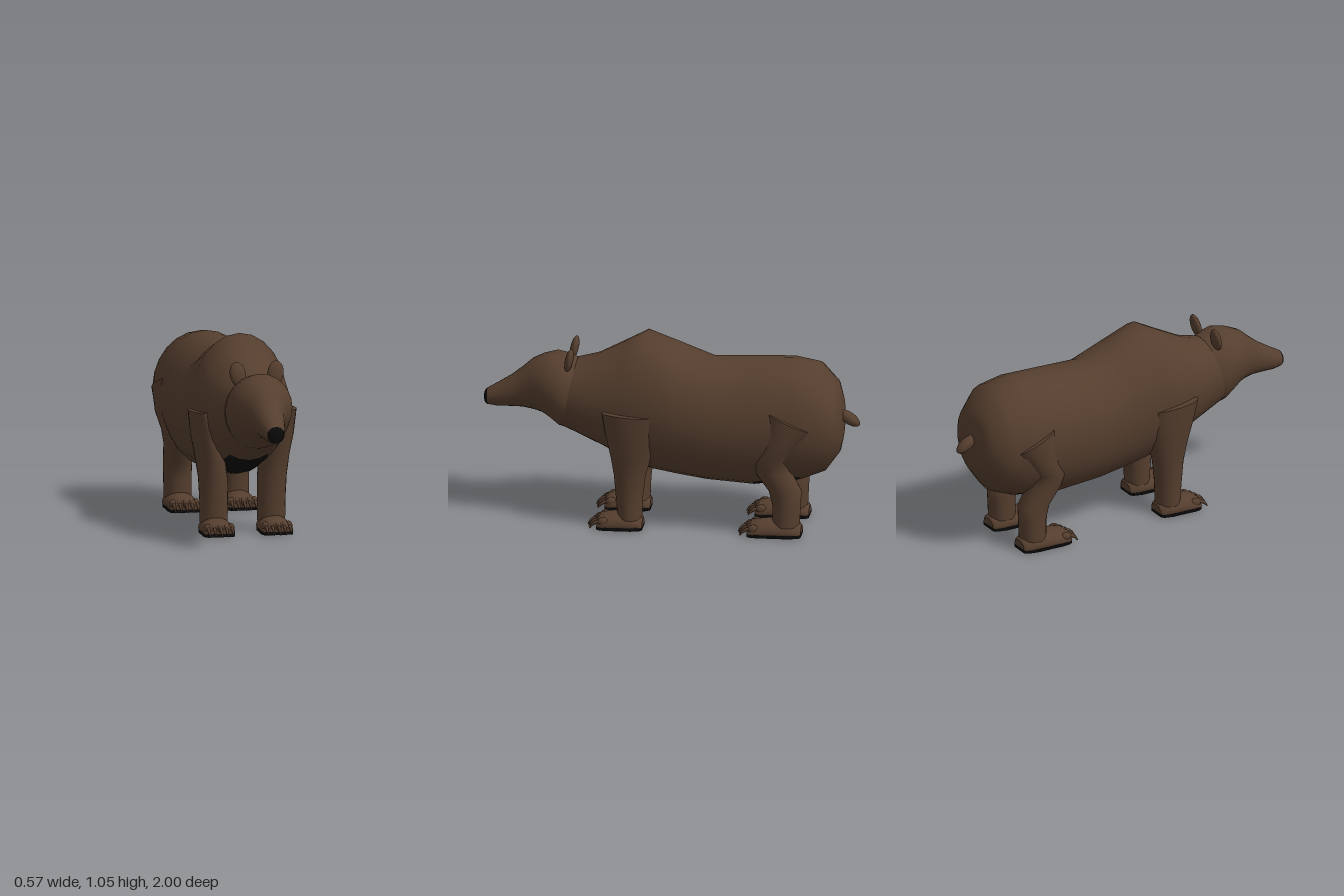
import * as THREE from 'three';

const fur = new THREE.MeshStandardMaterial({ color: 0x553e2e });
fur.name = 'brown fur';
const dark = new THREE.MeshStandardMaterial({ color: 0x0a0a0a });
dark.name = 'black skin';

// Smooth skin over elliptical rings [z1, y1, z2, y2, halfWidth, centreX]:
// (z1, y1) and (z2, y2) are the ends of each ring's profile line.
function loft(name, rings, { sides = 24, floor = -1, isDark = () => false } = {}) {
  const pos = [], brown = [], black = [];
  rings.forEach(([z1, y1, z2, y2, w, cx = 0]) => {
    for (let j = 0; j < sides; j++) {
      const a = (j / sides) * Math.PI * 2, s = Math.sin(a) / 2;
      pos.push(cx + w * Math.cos(a), Math.max(floor, (y1 + y2) / 2 + s * (y1 - y2)), (z1 + z2) / 2 + s * (z1 - z2));
    }
  });
  for (let i = 0; i < rings.length - 1; i++) {
    for (let j = 0; j < sides; j++) {
      const k = (j + 1) % sides, a = i * sides + j, b = i * sides + k;
      (isDark(i, j) ? black : brown).push(a, b, b + sides, a, b + sides, a + sides);
    }
  }
  // Flat end caps with their own vertices
  for (const i of [0, rings.length - 1]) {
    const [z1, y1, z2, y2, , cx = 0] = rings[i];
    const base = pos.length / 3;
    for (let j = 0; j < sides; j++) pos.push(...pos.slice((i * sides + j) * 3, (i * sides + j) * 3 + 3));
    pos.push(cx, Math.max(floor, (y1 + y2) / 2), (z1 + z2) / 2);
    for (let j = 0; j < sides; j++) {
      const a = base + j, b = base + ((j + 1) % sides), c = base + sides;
      if (i === 0) brown.push(c, b, a);
      else brown.push(c, a, b);
    }
  }
  const geo = new THREE.BufferGeometry();
  geo.setAttribute('position', new THREE.Float32BufferAttribute(pos, 3));
  geo.setIndex([...brown, ...black]);
  geo.addGroup(0, brown.length, 0);
  geo.addGroup(brown.length, black.length, 1);
  geo.computeVertexNormals();
  const mesh = new THREE.Mesh(geo, black.length ? [fur, dark] : fur);
  mesh.name = name;
  return mesh;
}

function ellipsoid(name, material, [x, y, z], [rx, ry, rz], tilt = 0) {
  const mesh = new THREE.Mesh(new THREE.SphereGeometry(1, 18, 12), material);
  mesh.name = name;
  mesh.position.set(x, y, z);
  mesh.scale.set(rx, ry, rz);
  mesh.rotation.x = tilt;
  return mesh;
}

// Paw with a flat dark sole, rounded toes and five curved claws
function makePaw(name, cx, heel, toe) {
  const paw = new THREE.Group();
  paw.name = name;
  const len = toe - heel;
  const profile = [[0, 0.06, 0.05], [0.05, 0.075, 0.066], [0.25, 0.09, 0.08], [0.55, 0.092, 0.083],
    [0.8, 0.082, 0.087], [0.93, 0.072, 0.083], [1, 0.055, 0.07]];
  paw.add(loft('pawTop', profile.map(([t, y, w]) => [heel + t * len, y, heel + t * len, -0.03, w, cx]), { floor: 0.02 }));

  const outline = [...profile.map(([t, , w]) => new THREE.Vector2(w * 0.97, -(heel + t * len))),
    ...profile.slice().reverse().map(([t, , w]) => new THREE.Vector2(-w * 0.97, -(heel + t * len)))];
  const sole = new THREE.Mesh(new THREE.ExtrudeGeometry(new THREE.Shape(outline), { depth: 0.018, bevelEnabled: false }), dark);
  sole.name = 'sole';
  sole.rotation.x = -Math.PI / 2;
  sole.position.set(cx, 0.004, 0);
  paw.add(sole);

  for (let i = -2; i <= 2; i++) {
    const x = cx + i * 0.032, z = toe - Math.abs(i) * 0.008;
    paw.add(ellipsoid('toe', fur, [x, 0.046, z - 0.02], [0.019, 0.026, 0.03]));
    paw.add(loft('claw', [
      [z - 0.01, 0.062, z - 0.01, 0.038, 0.009, x],
      [z + 0.025, 0.052, z + 0.015, 0.034, 0.008, x],
      [z + 0.045, 0.033, z + 0.034, 0.024, 0.006, x],
      [z + 0.055, 0.011, z + 0.05, 0.008, 0.002, x],
    ], { sides: 8 }));
  }
  return paw;
}

export function createModel() {
  const bear = new THREE.Group();
  bear.name = 'bear';

  // Body from rump to neck, with bare dark patches under chest and groin
  bear.add(loft('body', [
    [-0.916, 0.66, -0.918, 0.58, 0.04],
    [-0.905, 0.74, -0.912, 0.49, 0.13],
    [-0.88, 0.82, -0.9, 0.43, 0.185],
    [-0.79, 0.915, -0.83, 0.33, 0.25],
    [-0.65, 0.94, -0.7, 0.275, 0.265],
    [-0.45, 0.932, -0.45, 0.235, 0.27],
    [-0.22, 0.92, -0.2, 0.25, 0.268],
    [-0.05, 0.985, -0.05, 0.27, 0.266],
    [0.13, 1.052, 0.1, 0.295, 0.264],
    [0.25, 0.985, 0.22, 0.34, 0.25],
    [0.39, 0.91, 0.36, 0.41, 0.21],
    [0.5, 0.88, 0.57, 0.505, 0.175],
  ], { isDark: (i, j) => (i === 4 || i === 8 || i === 9) && j >= 16 && j <= 19 }));

  // Head and muzzle
  bear.add(loft('head', [
    [0.49, 0.872, 0.56, 0.5, 0.17],
    [0.54, 0.897, 0.595, 0.51, 0.178],
    [0.61, 0.912, 0.64, 0.548, 0.172],
    [0.68, 0.893, 0.68, 0.575, 0.15],
    [0.74, 0.865, 0.73, 0.588, 0.117],
    [0.79, 0.82, 0.79, 0.597, 0.09],
    [0.85, 0.77, 0.85, 0.597, 0.077],
    [0.92, 0.725, 0.93, 0.594, 0.062],
    [0.98, 0.688, 0.975, 0.6, 0.047],
  ]));
  bear.add(ellipsoid('nose', dark, [0, 0.644, 0.974], [0.046, 0.045, 0.026]));
  bear.add(ellipsoid('tail', fur, [0, 0.617, -0.945], [0.034, 0.068, 0.032], -2.15));

  for (const side of [1, -1]) {
    const label = side > 0 ? 'left' : 'right';
    const leg = (name, rings) => loft(name, rings.map(([a, b, c, d, w, x]) => [a, b, c, d, w, x * side]));

    const ear = ellipsoid(label + 'Ear', fur, [side * 0.102, 0.9, 0.532], [0.044, 0.066, 0.022], -0.2);
    ear.rotation.z = -side * 0.15;
    bear.add(ear);

    bear.add(leg(label + 'FrontLeg', [
      [0.34, 0.665, 0.05, 0.65, 0.05, 0.235],
      [0.325, 0.53, 0.06, 0.53, 0.075, 0.2],
      [0.3, 0.4, 0.08, 0.42, 0.078, 0.175],
      [0.285, 0.3, 0.115, 0.3, 0.078, 0.16],
      [0.275, 0.18, 0.13, 0.18, 0.076, 0.156],
      [0.265, 0.06, 0.135, 0.06, 0.075, 0.156],
    ]));
    bear.add(makePaw(label + 'FrontPaw', side * 0.157, 0.13, 0.37));

    bear.add(leg(label + 'HindLeg', [
      [-0.545, 0.71, -0.78, 0.61, 0.05, 0.233],
      [-0.51, 0.52, -0.71, 0.52, 0.07, 0.21],
      [-0.455, 0.42, -0.65, 0.44, 0.08, 0.18],
      [-0.47, 0.35, -0.66, 0.36, 0.08, 0.165],
      [-0.54, 0.25, -0.715, 0.25, 0.077, 0.157],
      [-0.56, 0.17, -0.71, 0.17, 0.075, 0.156],
      [-0.56, 0.06, -0.705, 0.06, 0.074, 0.156],
    ]));
    bear.add(makePaw(label + 'HindPaw', side * 0.157, -0.715, -0.43));
  }
  return bear;
}
